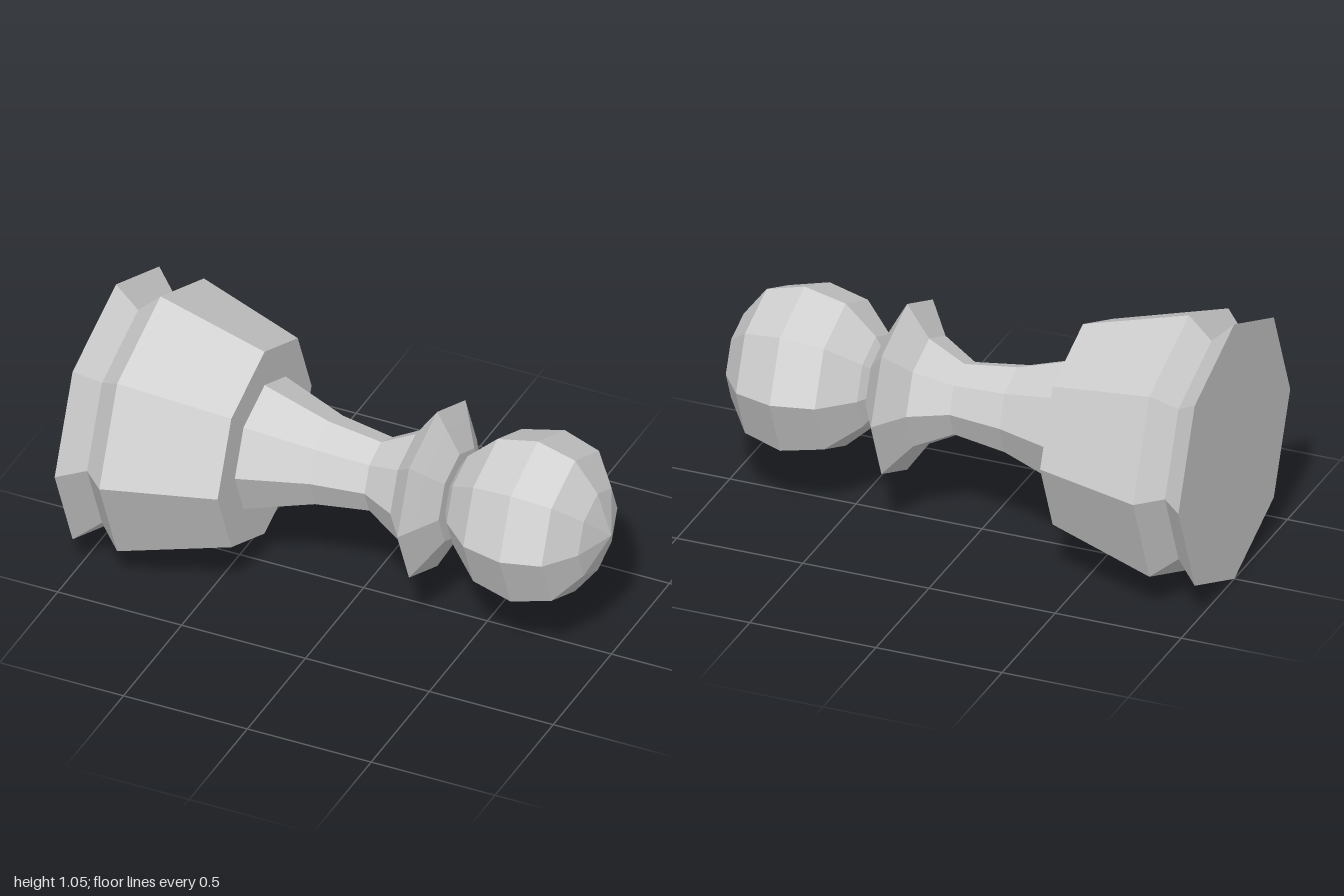
import * as THREE from 'three';

const SIDES = 8;
const RADIUS = 0.527;

export function createModel() {
  const model = new THREE.Group();
  model.name = 'pawn';
  const grey = new THREE.MeshStandardMaterial({ color: 0xcccccc, flatShading: true });
  grey.name = 'light grey';

  // Turned part lying along x; profile points are [x, radius]
  const turned = (name, profile) => {
    const points = profile.map(([x, r]) => new THREE.Vector2(r, x));
    const geometry = new THREE.LatheGeometry(points, SIDES);
    geometry.rotateZ(-Math.PI / 2);
    geometry.translate(0, RADIUS, 0);
    const mesh = new THREE.Mesh(geometry, grey);
    mesh.name = name;
    model.add(mesh);
  };

  // Grooved foot and tapering base with a flat shoulder
  turned('base', [
    [-1, 0], [-1, RADIUS], [-0.91, 0.44], [-0.82, RADIUS], [-0.4, 0.404], [-0.4, 0.256],
  ]);

  // Waisted stem
  turned('stem', [[-0.4, 0.256], [-0.14, 0.171], [0.07, 0.142], [0.21, 0.218]]);

  // Sharp-edged collar below the head
  turned('collar', [[0.21, 0.218], [0.297, 0.343], [0.335, 0.275], [0.387, 0.18], [0.387, 0.122]]);

  // Faceted ball head
  turned('head', [
    [0.387, 0.122], [0.42, 0.182], [0.54, 0.294], [0.703, 0.331],
    [0.854, 0.29], [0.945, 0.169], [1, 0],
  ]);

  return model;
}
